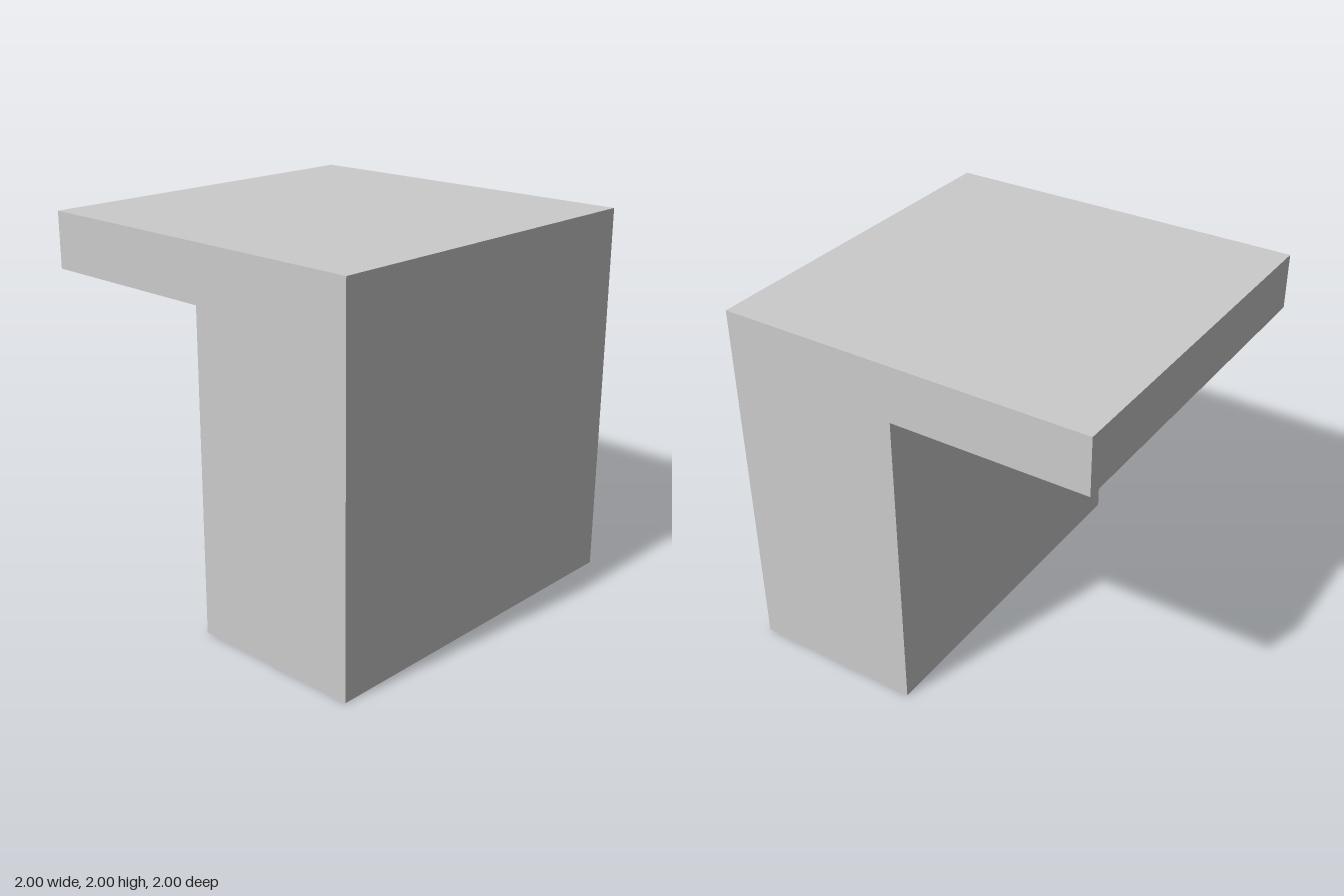
import * as THREE from 'three';

export function createModel() {
  const group = new THREE.Group();
  group.name = 'overhangingBlock';

  // Side profile: thick front block with a slab reaching backwards (shape x is -z)
  const profile = new THREE.Shape([
    [-1, 0], [-0.05, 0], [-0.05, 1.7], [1, 1.7], [1, 2], [-1, 2],
  ].map(([x, y]) => new THREE.Vector2(x, y)));

  // Extrude across the width, then turn so the block faces +z
  const geometry = new THREE.ExtrudeGeometry(profile, { depth: 2, bevelEnabled: false });
  geometry.translate(0, 0, -1);
  geometry.rotateY(Math.PI / 2);

  const body = new THREE.Mesh(
    geometry,
    new THREE.MeshStandardMaterial({ color: 0xcccccc, flatShading: true }),
  );
  body.name = 'blockWithOverhang';
  group.add(body);
  return group;
}
